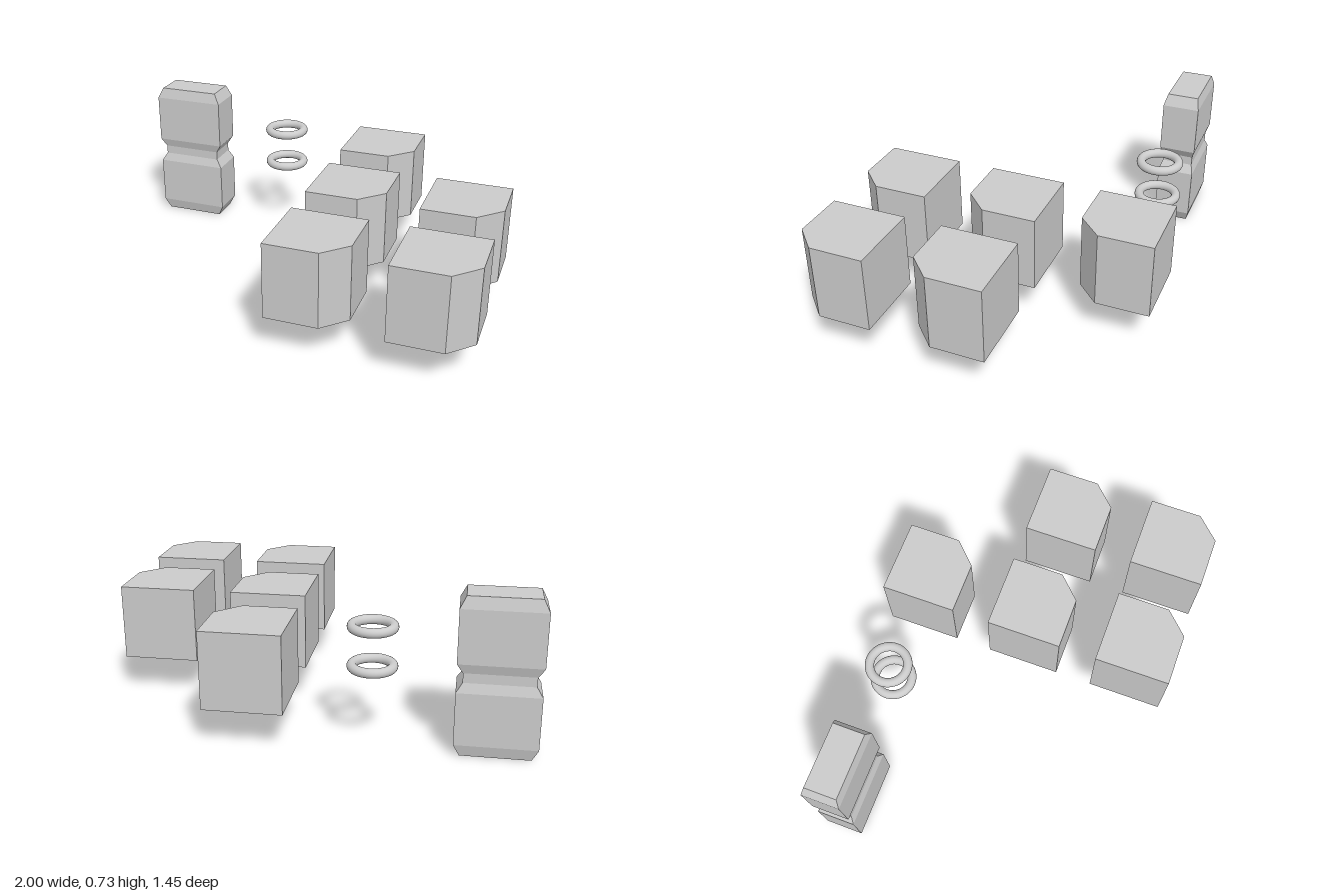
import * as THREE from 'three';

const U = 4 / 11; // base unit: one cube edge
const material = new THREE.MeshStandardMaterial({ color: 0xcccccc, flatShading: true });
const smooth = new THREE.MeshStandardMaterial({ color: 0xcccccc });

// Cube with its front left vertical edge cut off
function cutCubeGeometry() {
  const h = U / 2, c = 0.3 * U;
  const shape = new THREE.Shape([
    [-h, -h], [h - c, -h], [h, -h + c], [h, h], [-h, h],
  ].map(([x, y]) => new THREE.Vector2(x, y)));
  const geometry = new THREE.ExtrudeGeometry(shape, { depth: U, bevelEnabled: false });
  return geometry.rotateX(-Math.PI / 2).translate(0, -h, 0);
}

// Tall slab: rectangular sections with tapered ends and a waist groove
function slabGeometry() {
  const wide = 0.5 * U, narrow = 0.425 * U;
  const profile = [
    [0, -U], [narrow, -U], [wide, -0.85 * U], [wide, -0.18 * U], [narrow, -0.06 * U],
    [narrow, 0.06 * U], [wide, 0.18 * U], [wide, 0.85 * U], [narrow, U], [0, U],
  ].map(([r, y]) => new THREE.Vector2(r * Math.SQRT2, y));
  const lathe = new THREE.LatheGeometry(profile, 4).rotateY(Math.PI / 4);
  return lathe.scale(1, 1, 0.5).toNonIndexed();
}

export function createModel() {
  const model = new THREE.Group();
  model.name = 'shapeSet';
  const add = (name, geometry, mat, x, y, z) => {
    const mesh = new THREE.Mesh(geometry, mat);
    mesh.name = name;
    mesh.position.set(x, y, z);
    model.add(mesh);
  };

  // Grooved slab
  add('groovedSlab', slabGeometry(), material, -2.25 * U, U, -1.5 * U);

  // Two stacked rings
  const ring = new THREE.TorusGeometry(0.25 * U, 0.06 * U, 20, 48).rotateX(Math.PI / 2);
  for (const y of [U, 1.5 * U]) add('ring', ring, smooth, -0.75 * U, y, -1.5 * U);

  // Five cut cubes on a grid, the back left place empty
  const cube = cutCubeGeometry();
  for (const [x, z] of [[0.75, -1.5], [0.75, 0], [0.75, 1.5], [2.25, 0], [2.25, 1.5]]) {
    add('cutCube', cube, material, x * U, U, z * U);
  }
  return model;
}
